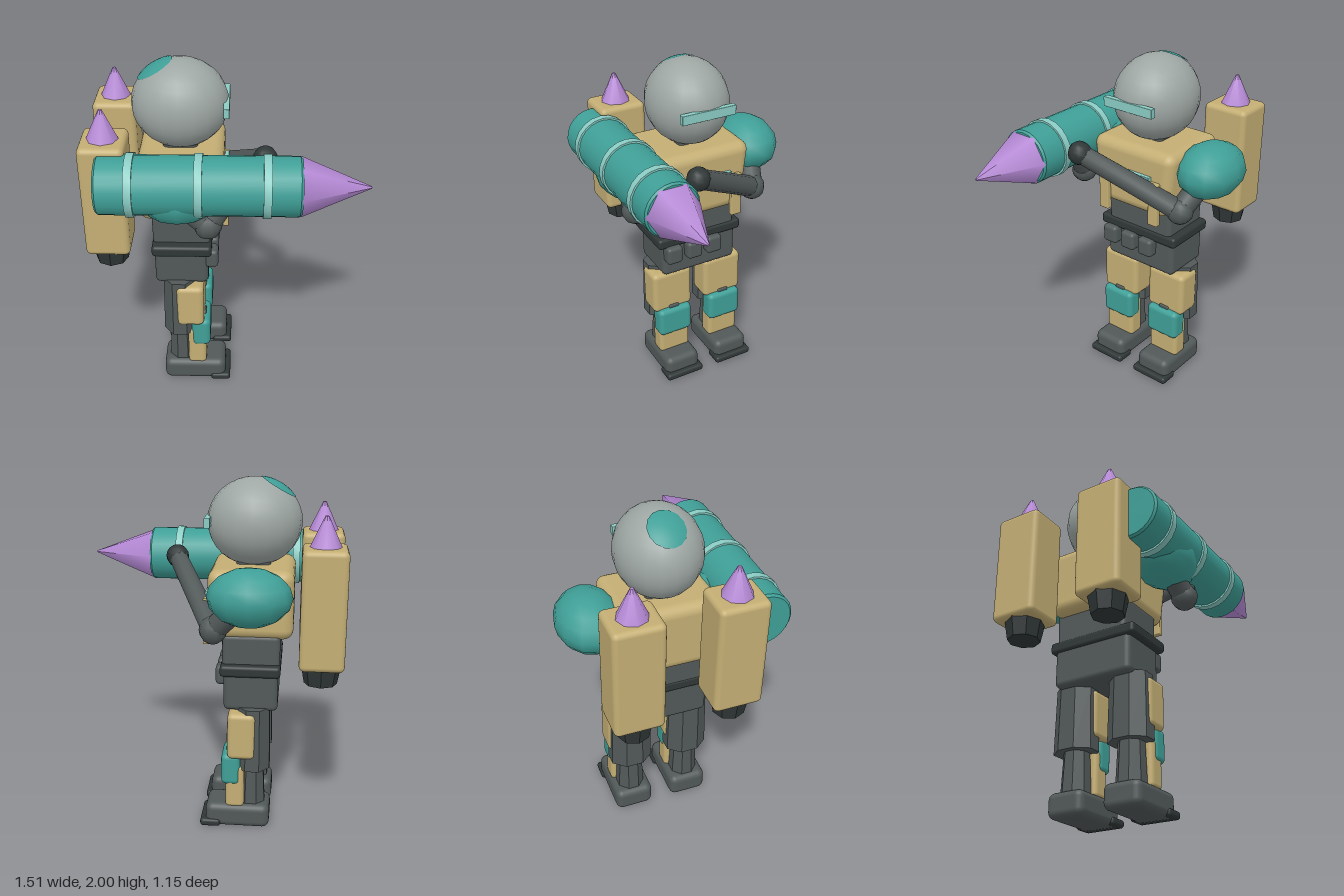
import * as THREE from 'three';
import { RoundedBoxGeometry } from 'three/addons/geometries/RoundedBoxGeometry.js';
import { toCreasedNormals } from 'three/addons/utils/BufferGeometryUtils.js';

const paint = (name, color) => Object.assign(new THREE.MeshStandardMaterial({ color }), { name });

export function createModel() {
  const model = new THREE.Group();
  model.name = 'jetTrooper';
  const tan = paint('tan armour', 0xc4ae74);
  const teal = paint('teal armour', 0x3f9f97);
  const mint = paint('mint trim', 0x8accc4);
  const grey = paint('helmet grey', 0x9ea7a4);
  const cloth = paint('dark suit', 0x525959);
  const black = paint('near black', 0x303737);
  const purple = paint('purple warhead', 0xb68ad6);
  const MID = -0.013; // mirror plane of the body

  function add(name, geometry, material, x = 0, y = 0, z = 0) {
    const mesh = new THREE.Mesh(geometry, material);
    mesh.name = name;
    mesh.position.set(x, y, z);
    model.add(mesh);
    return mesh;
  }

  // Rounded box from its limits on each axis; taper scales z at the bottom
  function box(name, material, [x0, x1], [y0, y1], [z0, z1], radius = 0.03, taper = 1) {
    const w = x1 - x0, h = y1 - y0, d = z1 - z0;
    const g = new RoundedBoxGeometry(w, h, d, 3, Math.min(radius, w * 0.45, h * 0.45, d * 0.45));
    if (taper !== 1) {
      const p = g.attributes.position;
      for (let i = 0; i < p.count; i++) {
        const t = 0.5 - p.getY(i) / h;
        p.setZ(i, p.getZ(i) * (1 + (taper - 1) * t));
      }
    }
    return add(name, g, material, (x0 + x1) / 2, (y0 + y1) / 2, (z0 + z1) / 2);
  }

  // Cylinder or cone with creased edges
  const round = (top, bottom, height, sides, crease = 0.9) =>
    toCreasedNormals(new THREE.CylinderGeometry(top, bottom, height, sides), crease);

  // Limb segment between two points
  function limb(name, a, b, r0, r1) {
    const from = new THREE.Vector3(...a), to = new THREE.Vector3(...b);
    const dir = to.clone().sub(from);
    const mesh = add(name, round(r1, r0, dir.length(), 10), cloth);
    mesh.position.copy(from).addScaledVector(dir, 0.5);
    mesh.quaternion.setFromUnitVectors(new THREE.Vector3(0, 1, 0), dir.normalize());
  }
  const joint = (name, p, r, material = cloth) =>
    add(name, new THREE.SphereGeometry(r, 10, 8), material, ...p);

  // Helmet with crown patch and visor
  const skull = new THREE.SphereGeometry(1, 20, 16);
  skull.scale(0.264, 0.245, 0.235);
  add('helmet', skull, grey, -0.244, 1.755, MID);
  const patch = new THREE.SphereGeometry(1, 14, 5, 0, Math.PI * 2, 0, 0.43);
  patch.rotateZ(0.56).scale(0.268, 0.249, 0.239);
  add('crownPatch', patch, teal, -0.244, 1.755, MID - 0.006);
  box('visor', mint, [-0.01, 0.023], [1.735, 1.79], [-0.177, 0.153], 0.003);
  box('neck', cloth, [-0.34, -0.15], [1.48, 1.6], [-0.11, 0.085]);

  // Torso, waist and belt
  box('torso', tan, [-0.476, -0.005], [1.135, 1.53], [-0.3, 0.274], 0.06, 0.82);
  box('chestBar', mint, [-0.01, 0.018], [1.335, 1.385], [-0.16, 0.14], 0.004);
  for (const z of [0.164, -0.19])
    box('chestStrap', tan, [-0.012, 0.022], [1.098, 1.36], [z - 0.032, z + 0.032], 0.006);
  box('waist', cloth, [-0.407, -0.085], [0.94, 1.16], [-0.243, 0.217], 0.025, 0.96);
  box('hips', cloth, [-0.4, -0.095], [0.72, 0.95], [-0.254, 0.233], 0.03);
  box('belt', black, [-0.412, -0.075], [0.925, 0.992], [-0.28, 0.268], 0.02);
  for (const z of [0.178, 0.045, -0.085])
    box('beltPouch', cloth, [-0.12, -0.038], [0.828, 0.94], [z - 0.05, z + 0.05], 0.022);

  for (const side of [1, -1]) {
    // Legs
    const z = MID + side * 0.174;
    const span = (half) => [z - half, z + half];
    const thigh = round(0.098, 0.105, 0.37, 8, 0.4);
    thigh.rotateY(Math.PI / 8).scale(1, 1, 1.25);
    add('thigh', thigh, cloth, -0.265, 0.555, z);
    const calf = round(0.072, 0.085, 0.27, 8, 0.4);
    calf.rotateY(Math.PI / 8);
    add('calf', calf, cloth, -0.258, 0.255, z);
    box('thighPlate', tan, [-0.282, -0.122], [0.443, 0.718], span(0.129), 0.03);
    box('kneeHinge', cloth, [-0.2, -0.112], [0.37, 0.48], span(0.034), 0.008);
    box('kneePad', teal, [-0.197, -0.087], [0.275, 0.463], span(0.11), 0.03);
    box('shinPlate', tan, [-0.22, -0.112], [0.13, 0.39], span(0.102), 0.025);
    box('boot', cloth, [-0.367, 0.003], [0.005, 0.147], span(0.113), 0.04);
    box('toeSole', black, [-0.085, 0.033], [0.008, 0.053], span(0.124), 0.018);

    // Shoulder pads
    const pad = new THREE.SphereGeometry(1, 12, 8);
    pad.scale(0.229, 0.158, 0.18);
    add('shoulderPad', pad, teal, -0.243, 1.415, MID + side * 0.385);

    // Jet pods
    const pz = MID - 0.004 + side * 0.272;
    box('jetPod', tan, [-0.752, -0.51], [1.02, 1.67], [pz - 0.138, pz + 0.138], 0.03);
    add('podNose', round(0.01, 0.088, 0.17, 8), purple, -0.631, 1.747, pz);
    add('podNozzle', round(0.112, 0.09, 0.12, 8, 0.4), black, -0.631, 0.98, pz);
  }

  // Arms: the right one reaches across, the left one holds the launcher
  const arms = [
    ['right', [-0.2, 1.38, -0.39], [-0.045, 1.215, -0.335], [0.215, 1.515, 0.165]],
    ['left', [-0.24, 1.38, 0.38], [-0.085, 1.24, 0.405], [0.03, 1.4, 0.36]],
  ];
  for (const [side, shoulder, elbow, hand] of arms) {
    limb(side + 'UpperArm', shoulder, elbow, 0.068, 0.064);
    joint(side + 'Elbow', elbow, 0.077);
    limb(side + 'Forearm', elbow, hand, 0.062, 0.055);
    joint(side + 'Hand', hand, 0.067, black);
  }

  // Shoulder launcher along x
  const LY = 1.483, LZ = 0.407;
  const profile = [[0, -0.655], [0.145, -0.655], [0.157, -0.643], [0.157, 0.388], [0.147, 0.4], [0, 0.4]];
  const tube = toCreasedNormals(
    new THREE.LatheGeometry(profile.map(([r, l]) => new THREE.Vector2(r, l)), 24), 0.6);
  tube.rotateZ(-Math.PI / 2);
  add('launcherTube', tube, teal, 0, LY, LZ);
  for (const x of [-0.478, -0.128, 0.222]) {
    const ring = round(0.168, 0.168, 0.042, 20);
    ring.rotateZ(-Math.PI / 2);
    add('launcherRing', ring, mint, x, LY, LZ);
  }
  const warhead = round(0.006, 0.156, 0.36, 6, 1.1);
  warhead.rotateZ(-Math.PI / 2);
  add('warhead', warhead, purple, 0.575, LY, LZ);

  return model;
}
